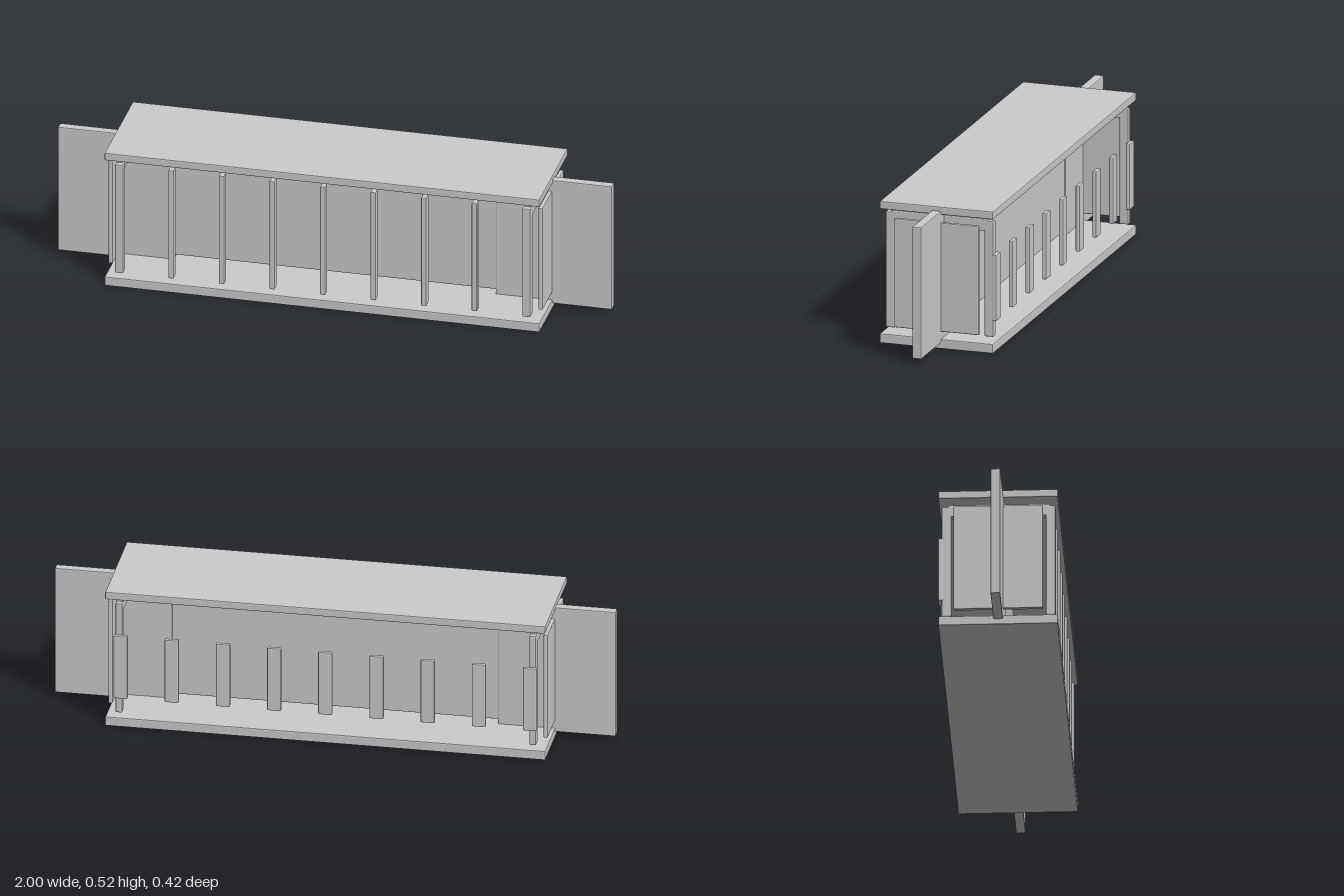
import * as THREE from 'three';
import { RoundedBoxGeometry } from 'three/addons/geometries/RoundedBoxGeometry.js';

const material = new THREE.MeshStandardMaterial({ color: 0xcccccc, flatShading: true });

// Box with slightly bevelled edges, given by its extents on each axis
function slab(parent, name, [x0, x1], [y0, y1], [z0, z1]) {
  const size = [x1 - x0, y1 - y0, z1 - z0];
  const bevel = Math.min(0.004, Math.min(...size) * 0.25);
  const mesh = new THREE.Mesh(new RoundedBoxGeometry(...size, 1, bevel), material);
  mesh.position.set((x0 + x1) / 2, (y0 + y1) / 2, (z0 + z1) / 2);
  mesh.name = name;
  parent.add(mesh);
  return mesh;
}

// Extents from a centre and a half width
const around = (c, h) => [c - h, c + h];

export function createModel() {
  const model = new THREE.Group();
  model.name = 'longCase';

  // Floor and roof
  slab(model, 'floor', [-0.785, 0.785], [0, 0.035], [-0.21, 0.21]);
  slab(model, 'roof', [-0.785, 0.785], [0.49, 0.519], [-0.21, 0.21]);

  // Middle wall running lengthwise, with raised tabs and roof brackets
  slab(model, 'middleWall', [-0.585, 0.585], [0.05, 0.475], [-0.012, 0.012]);
  for (const s of [-1, 0, 1]) {
    slab(model, 'wallTab', around(s * 0.49, 0.09), [0.465, 0.482], [-0.012, 0.012]);
    slab(model, 'roofBracket', around(s * 0.605, 0.04), [0.472, 0.492], [-0.023, 0.023]);
  }

  // Front posts and back slats
  for (let i = 0; i < 9; i++) {
    const x = (i - 4) * 0.1825;
    slab(model, 'frontPost', around(x, 0.01), [0.05, 0.473], [0.168, 0.2]);
    slab(model, 'backSlat', around(x, 0.025), [0.11, 0.352], [-0.212, -0.196]);
  }

  // Each end: portal frame, cross panel and projecting wing
  for (const s of [-1, 1]) {
    const end = new THREE.Group();
    end.name = s > 0 ? 'leftEnd' : 'rightEnd';
    for (const side of [-1, 1])
      slab(end, 'portalPost', around(s * 0.738, 0.012), [0.05, 0.473], around(side * 0.183, 0.017));
    slab(end, 'portalBeam', around(s * 0.738, 0.012), [0.435, 0.48], [-0.18, 0.18]);
    slab(end, 'endPanel', around(s * 0.776, 0.008), [0.062, 0.46], [-0.157, 0.157]);
    slab(end, 'wing', around(s * 0.79, 0.21), [0.021, 0.503], [-0.017, 0.017]);
    model.add(end);
  }

  return model;
}
